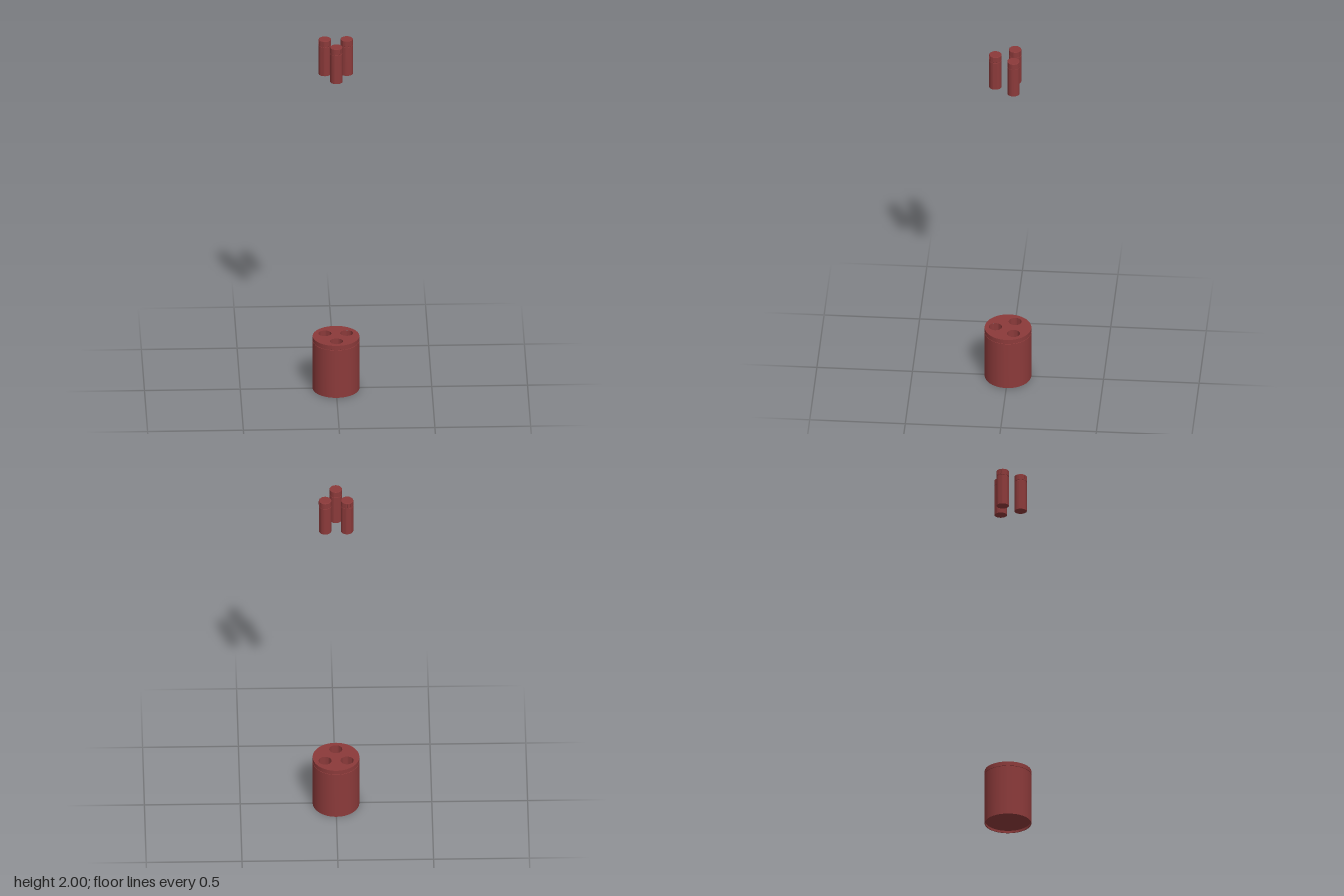
import * as THREE from 'three';
import { toCreasedNormals } from 'three/addons/utils/BufferGeometryUtils.js';

const material = new THREE.MeshStandardMaterial({ color: 0x8b3a3a });
const BODY_R = 0.122, BORE_R = 0.034, PIN_R = 0.0325, RING = 0.066;

function part(name, geometry, parent) {
  const mesh = new THREE.Mesh(geometry, material);
  mesh.name = name;
  parent.add(mesh);
  return mesh;
}

// Turned shape from [radius, height] pairs, with sharp corners kept
function turned(points, segments) {
  const profile = points.map(([r, y]) => new THREE.Vector2(r, y));
  return toCreasedNormals(new THREE.LatheGeometry(profile, segments), 0.6);
}

export function createModel() {
  const model = new THREE.Group();
  model.name = 'holderWithCylinders';

  // Holder wall with a shallow recessed base and a fine seam under the lid
  const holder = new THREE.Group();
  holder.name = 'holder';
  model.add(holder);
  part('holderBody', turned([
    [0, 0.012], [0.118, 0.012], [0.118, 0], [BODY_R, 0],
    [BODY_R, 0.273], [BODY_R - 0.0015, 0.274], [BODY_R - 0.0015, 0.276],
    [BODY_R, 0.277], [BODY_R, 0.3],
  ], 96), holder);

  // Three positions, spaced evenly and starting at the front
  const angles = [0, 1, 2].map((i) => (i * Math.PI * 2) / 3);

  // Flat lid pierced by the three bores
  const disc = new THREE.Shape().absarc(0, 0, BODY_R, 0, Math.PI * 2);
  for (const a of angles) {
    const hole = new THREE.Path();
    hole.absarc(Math.sin(a) * RING, -Math.cos(a) * RING, BORE_R, 0, Math.PI * 2, true);
    disc.holes.push(hole);
  }
  const lid = new THREE.ShapeGeometry(disc, 48);
  lid.rotateX(-Math.PI / 2);
  part('lidTop', lid, holder).position.y = 0.3;

  for (const a of angles) {
    // Everything in a station points outward along its own +z
    const station = new THREE.Group();
    station.name = 'station';
    station.rotation.y = a;
    model.add(station);

    // Bore lining, open at the top
    part('bore', turned([[BORE_R, 0.3], [BORE_R, 0.1], [0, 0.1]], 48), station)
      .position.z = RING;

    // Small index mark on the lid
    part('indexMark', new THREE.CylinderGeometry(0.0015, 0.0015, 0.001, 12), station)
      .position.set(0, 0.3, 0.107);

    // Raised cylinder with a fine groove below its cap
    const pin = new THREE.Group();
    pin.name = 'cylinder';
    pin.position.set(0, 1.8, RING);
    station.add(pin);
    part('cylinderBody', turned([
      [0, 0], [PIN_R, 0], [PIN_R, 0.164], [PIN_R - 0.001, 0.165],
      [PIN_R - 0.001, 0.167], [PIN_R, 0.168], [PIN_R, 0.198], [PIN_R - 0.002, 0.2], [0, 0.2],
    ], 48), pin);

    // Short grip ribs on the outward side of the cap
    for (let i = -4; i <= 4; i++) {
      const t = i * 0.25;
      const rib = part('gripRib', new THREE.BoxGeometry(0.0025, 0.02, 0.002), pin);
      rib.position.set(Math.sin(t) * PIN_R, 0.184, Math.cos(t) * PIN_R);
      rib.rotation.y = t;
    }
  }
  return model;
}
